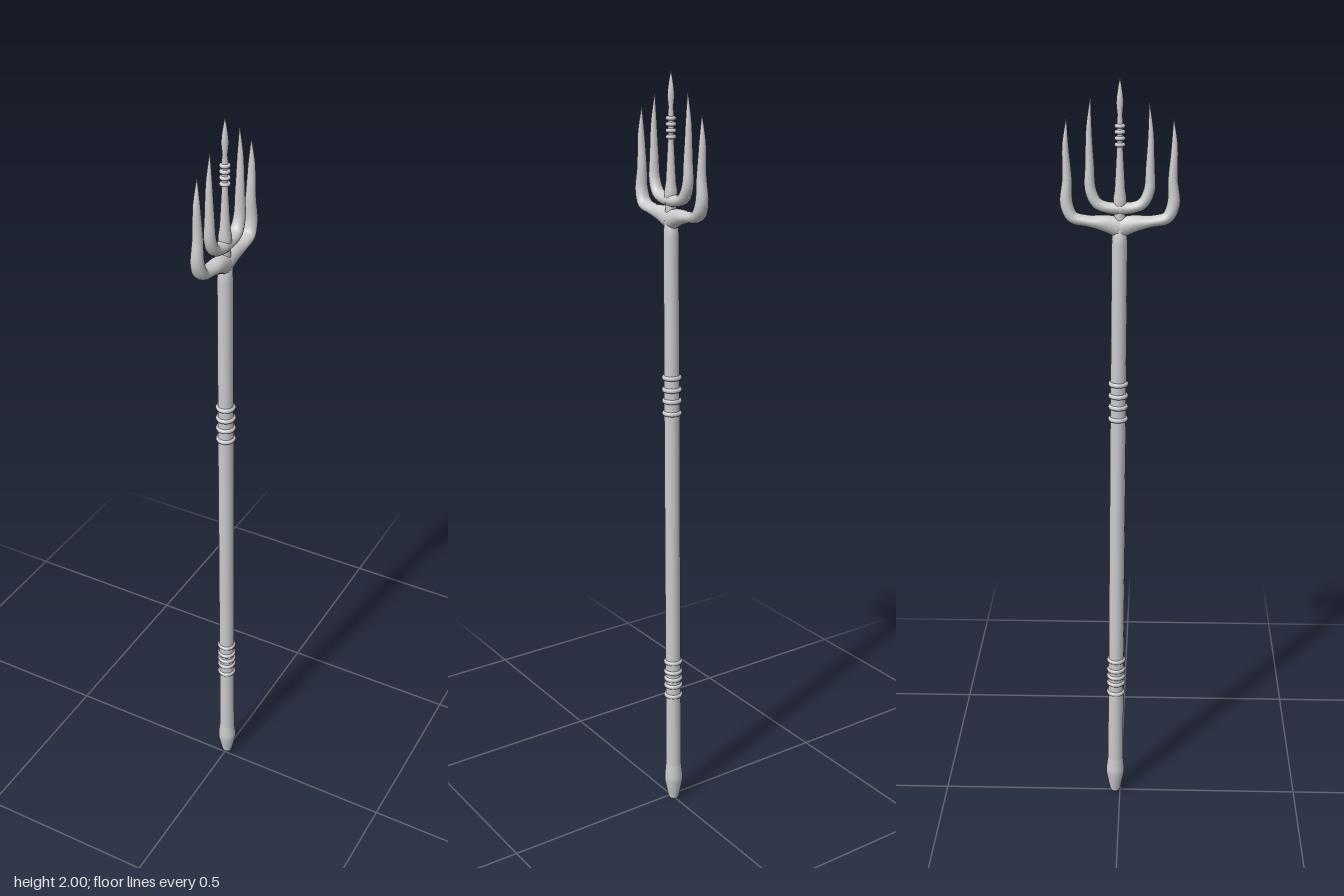
import * as THREE from 'three';

const material = new THREE.MeshStandardMaterial({ color: 0xcccccc });
const SIDES = 16;

function add(parent, geometry, name) {
  const mesh = new THREE.Mesh(geometry, material);
  mesh.name = name;
  parent.add(mesh);
  return mesh;
}

function lathe(points) {
  return new THREE.LatheGeometry(points.map(([r, y]) => new THREE.Vector2(r, y)), SIDES);
}

// Sweeps an ellipse along a path in the yz plane.
// Each station is [z, y, half-width along x, half-thickness in the plane].
function sweep(stations, steps = 40) {
  const path = new THREE.CatmullRomCurve3(stations.map(([z, y]) => new THREE.Vector3(0, y, z)));
  const size = new THREE.CatmullRomCurve3(stations.map(([, , rx, rn]) => new THREE.Vector3(rx, rn, 0)));
  const position = [], index = [];
  for (let i = 0; i <= steps; i++) {
    const c = path.getPoint(i / steps), t = path.getTangent(i / steps), s = size.getPoint(i / steps);
    for (let j = 0; j < SIDES; j++) {
      const a = (j / SIDES) * Math.PI * 2, n = Math.sin(a) * s.y;
      position.push(Math.cos(a) * s.x, c.y + t.z * n, c.z - t.y * n);
      if (i === steps) continue;
      const k = (j + 1) % SIDES, row = i * SIDES, next = row + SIDES;
      index.push(row + j, row + k, next + j, row + k, next + k, next + j);
    }
  }
  const geometry = new THREE.BufferGeometry();
  geometry.setAttribute('position', new THREE.Float32BufferAttribute(position, 3));
  geometry.setIndex(index);
  geometry.computeVertexNormals();
  return geometry;
}

export function createModel() {
  const model = new THREE.Group();
  model.name = 'fivePointedSpear';

  // Shaft, leaning very slightly forward
  const staff = new THREE.Group();
  staff.name = 'staff';
  staff.position.z = -0.014;
  staff.rotation.x = 0.008;
  model.add(staff);
  add(staff, lathe([[0.022, 0.1], [0.021, 0.33], [0.0205, 1.14], [0.0195, 1.6], [0.018, 1.64], [0, 1.66]]), 'shaft');

  // Butt cap
  add(staff, lathe([[0, 0], [0.012, 0.001], [0.015, 0.008], [0.0255, 0.06], [0.0255, 0.075],
    [0.022, 0.11], [0.021, 0.125]]), 'buttCap');

  // Grip rings
  for (const y of [0.33, 0.36, 0.381, 0.402, 0.432, 1.145, 1.178, 1.208, 1.24]) {
    const ring = add(staff, new THREE.TorusGeometry(0.0195, 0.0065, 8, 20), 'gripRing');
    ring.rotation.x = Math.PI / 2;
    ring.position.y = y;
  }

  // Centre spike with collar and spearhead
  add(model, lathe([[0.015, 1.62], [0.014, 1.68], [0.0165, 1.7], [0.0165, 1.715], [0.013, 1.735],
    [0.0105, 1.78], [0.0075, 1.835], [0.0075, 1.9], [0.006, 1.912], [0.009, 1.94], [0.0075, 1.957],
    [0.004, 1.98], [0, 2]]), 'centreSpike');
  for (const y of [1.843, 1.858, 1.873, 1.887]) {
    const ring = add(model, new THREE.TorusGeometry(0.0085, 0.005, 8, 16), 'spikeRing');
    ring.rotation.x = Math.PI / 2;
    ring.position.y = y;
  }

  // Mirrored outer and inner prongs
  for (const s of [1, -1]) {
    add(model, sweep([
      [0, 1.643, 0.02, 0.026], [s * 0.035, 1.653, 0.021, 0.021], [s * 0.08, 1.659, 0.021, 0.014],
      [s * 0.115, 1.668, 0.02, 0.015], [s * 0.13, 1.7, 0.017, 0.016], [s * 0.128, 1.76, 0.013, 0.012],
      [s * 0.131, 1.84, 0.009, 0.008], [s * 0.128, 1.903, 0.001, 0.001],
    ]), 'outerProng');
    const lift = s < 0 ? 0.012 : 0;
    add(model, sweep([
      [0, 1.69, 0.018, 0.016], [s * 0.03, 1.692, 0.018, 0.014], [s * 0.055, 1.702, 0.017, 0.014],
      [s * 0.071, 1.733, 0.015, 0.014], [s * 0.073, 1.79 + lift / 2, 0.012, 0.011],
      [s * 0.074, 1.87 + lift, 0.008, 0.007], [s * 0.07, 1.94 + lift, 0.001, 0.001],
    ]), 'innerProng');
  }
  return model;
}
